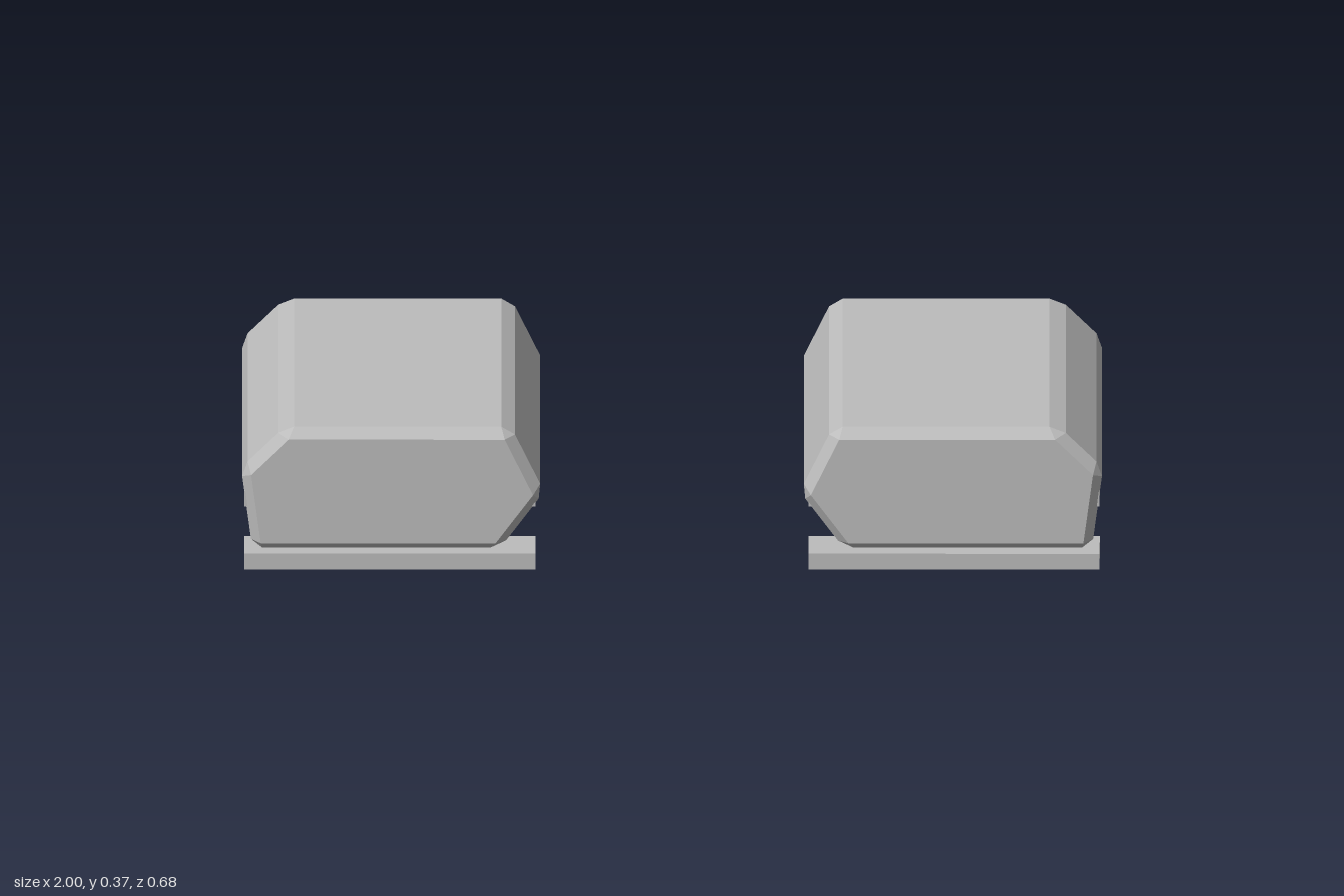
import * as THREE from 'three';
import { ConvexGeometry } from 'three/addons/geometries/ConvexGeometry.js';

const BEVEL = 0.0225;
const HALF_DEPTH = 0.338;

// sharp hexagonal cross-section of the left pod, counter-clockwise
const PROFILE = [
  [0.398, 0.057], [0.976, 0.057], [1.002, 0.267],
  [0.9, 0.375], [0.374, 0.375], [0.297, 0.204],
].map(([x, y]) => new THREE.Vector2(x, y));

// prism with every edge chamfered: each corner becomes three points
function podGeometry(side) {
  const points = [];
  const n = PROFILE.length;
  PROFILE.forEach((v, i) => {
    const toPrev = PROFILE[(i + n - 1) % n].clone().sub(v).normalize();
    const toNext = PROFILE[(i + 1) % n].clone().sub(v).normalize();
    const sin = Math.abs(toPrev.cross(toNext));
    // corner of the end cap, inset from both neighbouring sides
    const cap = v.clone().addScaledVector(toPrev.clone().add(toNext), BEVEL / sin);
    const a = v.clone().addScaledVector(toPrev, BEVEL);
    const b = v.clone().addScaledVector(toNext, BEVEL);
    for (const end of [-1, 1]) {
      points.push(new THREE.Vector3(side * cap.x, cap.y, end * HALF_DEPTH));
      for (const p of [a, b]) {
        points.push(new THREE.Vector3(side * p.x, p.y, end * (HALF_DEPTH - BEVEL)));
      }
    }
  });
  return new ConvexGeometry(points);
}

export function createModel() {
  const model = new THREE.Group();
  const grey = new THREE.MeshStandardMaterial({ color: 0xbcbcbc });
  grey.name = 'grey';

  const add = (parent, name, geometry, x = 0, y = 0, z = 0) => {
    const mesh = new THREE.Mesh(geometry, grey);
    mesh.name = name;
    mesh.position.set(x, y, z);
    parent.add(mesh);
  };

  const bar = new THREE.BoxGeometry(0.677, 0.0415, 0.087);
  for (const side of [1, -1]) {
    const unit = new THREE.Group();
    unit.name = side > 0 ? 'leftUnit' : 'rightUnit';
    add(unit, 'pod', podGeometry(side));
    // free bar under the front, and one sunk into the pod with its ends just showing
    add(unit, 'lowerBar', bar, side * 0.6555, 0.0208, 0.2745);
    add(unit, 'upperBar', bar, side * 0.6555, 0.1865, 0.2745);
    model.add(unit);
  }
  return model;
}
